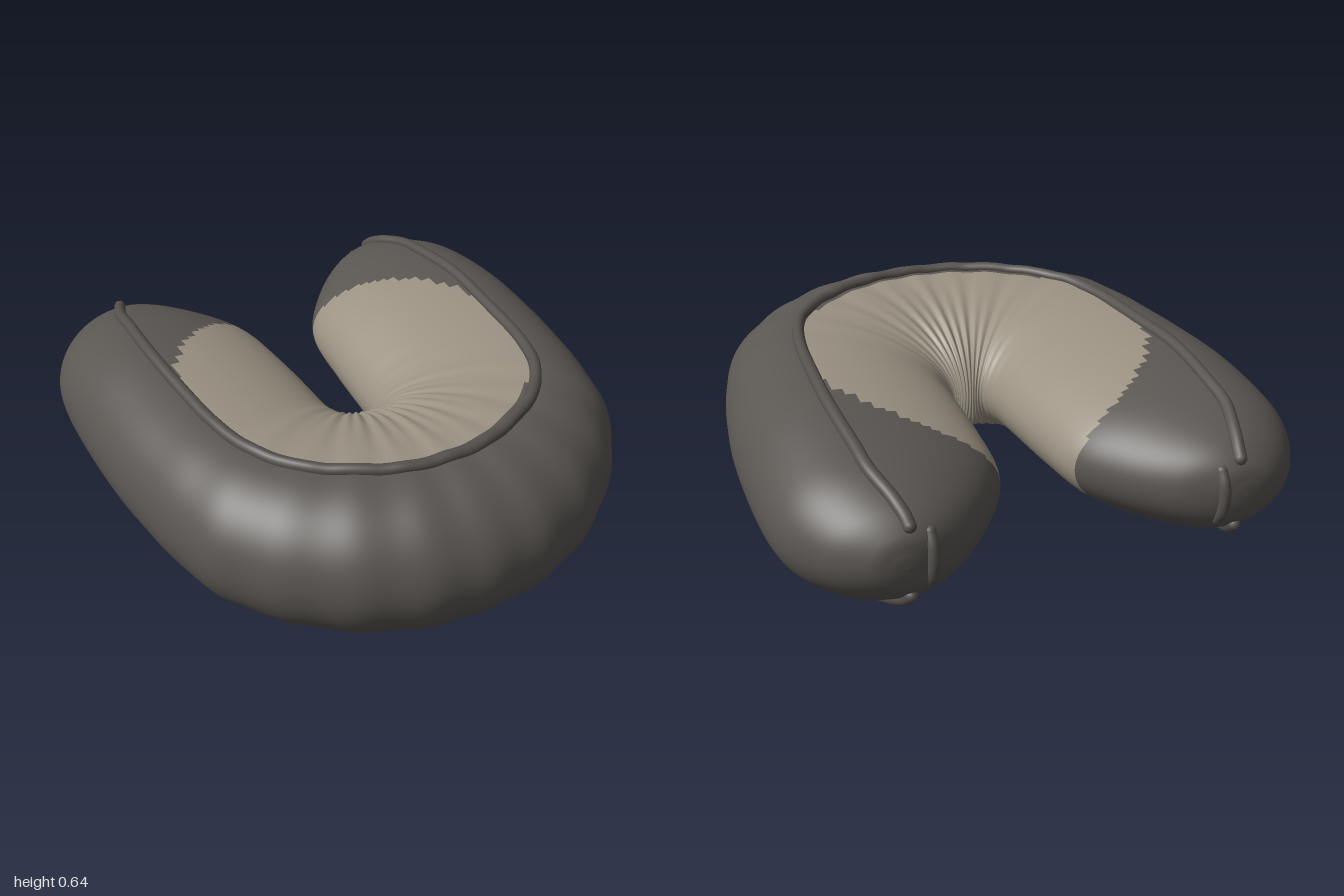
import * as THREE from 'three';

// Half of the cushion, from the front centre to the tip of one arm:
// outer x, outer z, inner x, inner z, half height, centre y, seam position (0 inner .. 1 outer)
const HALF = [
  [0.00, 0.99, 0.000, 0.06, 0.290, 0.325, 0.65],
  [0.22, 0.965, 0.020, 0.06, 0.290, 0.325, 0.65],
  [0.45, 0.87, 0.035, 0.055, 0.290, 0.327, 0.65],
  [0.65, 0.71, 0.050, 0.05, 0.285, 0.330, 0.66],
  [0.80, 0.50, 0.065, 0.03, 0.282, 0.335, 0.66],
  [0.87, 0.25, 0.080, -0.03, 0.277, 0.338, 0.66],
  [0.915, -0.05, 0.085, -0.15, 0.272, 0.342, 0.65],
  [0.93, -0.35, 0.100, -0.36, 0.270, 0.345, 0.65],
  [0.925, -0.60, 0.130, -0.60, 0.245, 0.345, 0.63],
  [0.89, -0.75, 0.230, -0.77, 0.215, 0.346, 0.59],
  [0.81, -0.88, 0.350, -0.90, 0.165, 0.348, 0.50],
  [0.71, -0.96, 0.460, -0.965, 0.105, 0.350, 0.42],
  [0.64, -0.983, 0.530, -0.983, 0.050, 0.350, 0.45],
  [0.58, -0.988, 0.580, -0.988, 0.000, 0.350, 0.50],
];
const SPAN = HALF.length - 1;
const mirrored = HALF.slice(1).reverse().map(([ox, oz, ix, iz, ...rest]) => [-ox, oz, -ix, iz, ...rest]);
const STATIONS = [...mirrored, ...HALF];
const curve = (pick) => new THREE.CatmullRomCurve3(STATIONS.map((s) => new THREE.Vector3(...pick(s))), false, 'catmullrom', 0.5);
const outerCurve = curve((s) => [s[0], 0, s[1]]);
const innerCurve = curve((s) => [s[2], 0, s[3]]);
const sizeCurve = curve((s) => [s[4], s[5], s[6]]);

// Surface point at station u (-SPAN .. SPAN) and angle phi (0 outer side, 90 degrees top)
function surface(u, phi) {
  const t = THREE.MathUtils.clamp((u / SPAN + 1) / 2, 0, 1);
  const outer = outerCurve.getPoint(t), inner = innerCurve.getPoint(t), size = sizeCurve.getPoint(t);
  const w = Math.cos(phi), s = Math.sin(phi);
  const seam = inner.clone().lerp(outer, size.z);
  // gathered pleats on the inner bend, soft lumps around the outside
  const pleat = Math.exp(-((u / 3) ** 2)) * Math.max(0, -w) ** 1.5 * Math.cos(u * 11);
  const lump = Math.exp(-((u / 5) ** 4)) * Math.cos(u * Math.PI * 2);
  const reach = w > 0 ? w * (1 + 0.012 * lump) : -w * (1 + 0.01 * pleat);
  const p = seam.clone().addScaledVector((w > 0 ? outer : inner).clone().sub(seam), reach);
  p.y = size.y + Math.max(0, size.x) * s * (1 + 0.04 * pleat + 0.008 * lump);
  return p;
}

// Closed cushion skin; faces within the neck radius take the second material
function cushionGeometry(rows, cols, neckRadius) {
  const positions = [], shell = [], lining = [];
  for (let i = 0; i <= rows; i++) {
    for (let j = 0; j < cols; j++) {
      const p = surface((i / rows * 2 - 1) * SPAN, j / cols * Math.PI * 2);
      positions.push(p.x, p.y, p.z);
    }
  }
  for (let i = 0; i < rows; i++) {
    for (let j = 0; j < cols; j++) {
      const k = (j + 1) % cols;
      const a = i * cols + j, b = a + cols, c = (i + 1) * cols + k, d = i * cols + k;
      const mx = (positions[a * 3] + positions[c * 3]) / 2;
      const mz = (positions[a * 3 + 2] + positions[c * 3 + 2]) / 2;
      (Math.hypot(mx, mz) < neckRadius ? lining : shell).push(a, b, c, a, c, d);
    }
  }
  const g = new THREE.BufferGeometry();
  g.setAttribute('position', new THREE.Float32BufferAttribute(positions, 3));
  g.setIndex([...shell, ...lining]);
  g.addGroup(0, shell.length, 0);
  g.addGroup(shell.length, lining.length, 1);
  g.computeVertexNormals();
  return g;
}

// Round cord with closed rounded ends
function cord(name, points, radius, segments, material) {
  const group = new THREE.Group();
  group.name = name;
  const path = new THREE.CatmullRomCurve3(points);
  group.add(new THREE.Mesh(new THREE.TubeGeometry(path, segments, radius, 12), material));
  for (const end of [points[0], points[points.length - 1]]) {
    const cap = new THREE.Mesh(new THREE.SphereGeometry(radius, 12, 8), material);
    cap.position.copy(end);
    group.add(cap);
  }
  group.children.forEach((m, i) => { m.name = i ? 'cordEnd' : 'cordLength'; });
  return group;
}

export function createModel() {
  const model = new THREE.Group();
  model.name = 'neckPillow';
  const darkFabric = new THREE.MeshStandardMaterial({ name: 'dark grey fabric', color: 0x5a5652 });
  const lightFabric = new THREE.MeshStandardMaterial({ name: 'beige lining', color: 0x9a9182 });
  const pipingFabric = new THREE.MeshStandardMaterial({ name: 'grey piping', color: 0x55514d });

  const cushion = new THREE.Mesh(cushionGeometry(312, 96, 0.637), [darkFabric, lightFabric]);
  cushion.name = 'cushion';
  model.add(cushion);

  // Piping along the top and bottom seams
  for (const [name, side] of [['topPiping', 1], ['bottomPiping', -1]]) {
    const points = [];
    for (let i = 0; i <= 60; i++) {
      const p = surface((i / 30 - 1) * 10.75, side * Math.PI / 2);
      p.y += side * 0.004;
      points.push(p);
    }
    model.add(cord(name, points, 0.022, 240, pipingFabric));
  }

  // Short upright seam ends at the arm tips
  for (const [name, side] of [['leftTipSeam', 1], ['rightTipSeam', -1]]) {
    const points = [[0.44, -0.948], [0.40, -0.972], [0.35, -0.98], [0.30, -0.972], [0.26, -0.948]]
      .map(([y, z]) => new THREE.Vector3(side * 0.5, y, z));
    model.add(cord(name, points, 0.02, 24, pipingFabric));
  }
  return model;
}
